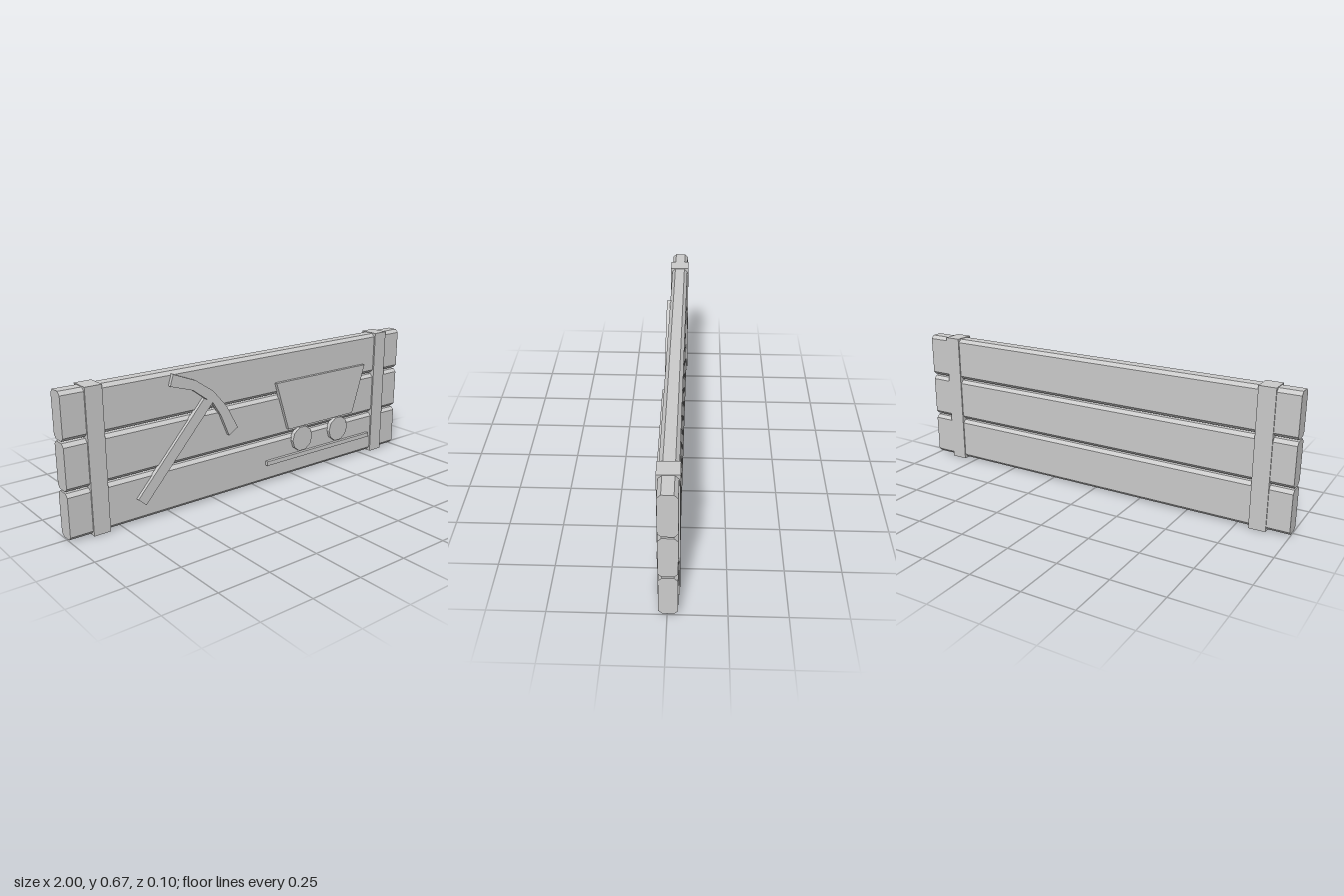
import * as THREE from 'three';

const material = new THREE.MeshStandardMaterial({ color: 0xcccccc, flatShading: true });

export function createModel() {
  const group = new THREE.Group();

  const add = (name, geometry, x = 0, y = 0, z = 0) => {
    const mesh = new THREE.Mesh(geometry, material);
    mesh.name = name;
    mesh.position.set(x, y, z);
    group.add(mesh);
    return mesh;
  };
  const extrude = (points, depth) => new THREE.ExtrudeGeometry(
    new THREE.Shape(points.map(([x, y]) => new THREE.Vector2(x, y))),
    { depth, bevelEnabled: false });

  // Three horizontal planks with chamfered long edges
  const w = 0.0405, h = 0.1068, c = 0.016;
  const section = [
    [-w + c, -h], [w - c, -h], [w, -h + c], [w, h - c],
    [w - c, h], [-w + c, h], [-w, h - c], [-w, -h + c],
  ];
  for (let i = 0; i < 3; i++) {
    const plank = extrude(section, 2);
    plank.translate(0, 0, -1).rotateY(Math.PI / 2);
    add('plank' + (i + 1), plank, 0, 0.1128 + i * 0.2217, -0.0045);
  }

  // Vertical straps wrapped around the planks
  for (const side of [-1, 1]) {
    add(side > 0 ? 'leftStrap' : 'rightStrap',
      new THREE.BoxGeometry(0.08, 0.666, 0.094), side * 0.853, 0.333, -0.0035);
  }

  // Raised emblem: back is sunk slightly into the planks
  const back = 0.03, depth = 0.0225, mid = back + depth / 2;

  // Pickaxe
  add('pickaxeHandle', extrude([
    [-0.674, 0.113], [-0.635, 0.078], [-0.262, 0.488], [-0.31, 0.515],
  ], depth), 0, 0, back);
  add('pickaxeHead', extrude([
    [-0.49, 0.6], [-0.37, 0.562], [-0.31, 0.517], [-0.264, 0.487], [-0.218, 0.415], [-0.172, 0.307],
    [-0.12, 0.337], [-0.185, 0.455], [-0.26, 0.541], [-0.355, 0.606], [-0.473, 0.653],
  ], depth), 0, 0, back);

  // Mine cart
  add('cartBody', extrude([
    [0.201, 0.258], [0.65, 0.258], [0.73, 0.51], [0.12, 0.51],
  ], depth), 0, 0, back);
  for (const x of [0.297, 0.55]) {
    const wheel = new THREE.CylinderGeometry(0.066, 0.066, depth, 10);
    wheel.rotateY(Math.PI / 2).rotateX(Math.PI / 2);
    add('cartWheel', wheel, x, 0.189, mid);
  }
  add('rail', new THREE.BoxGeometry(0.72, 0.022, depth), 0.425, 0.105, mid);

  return group;
}
